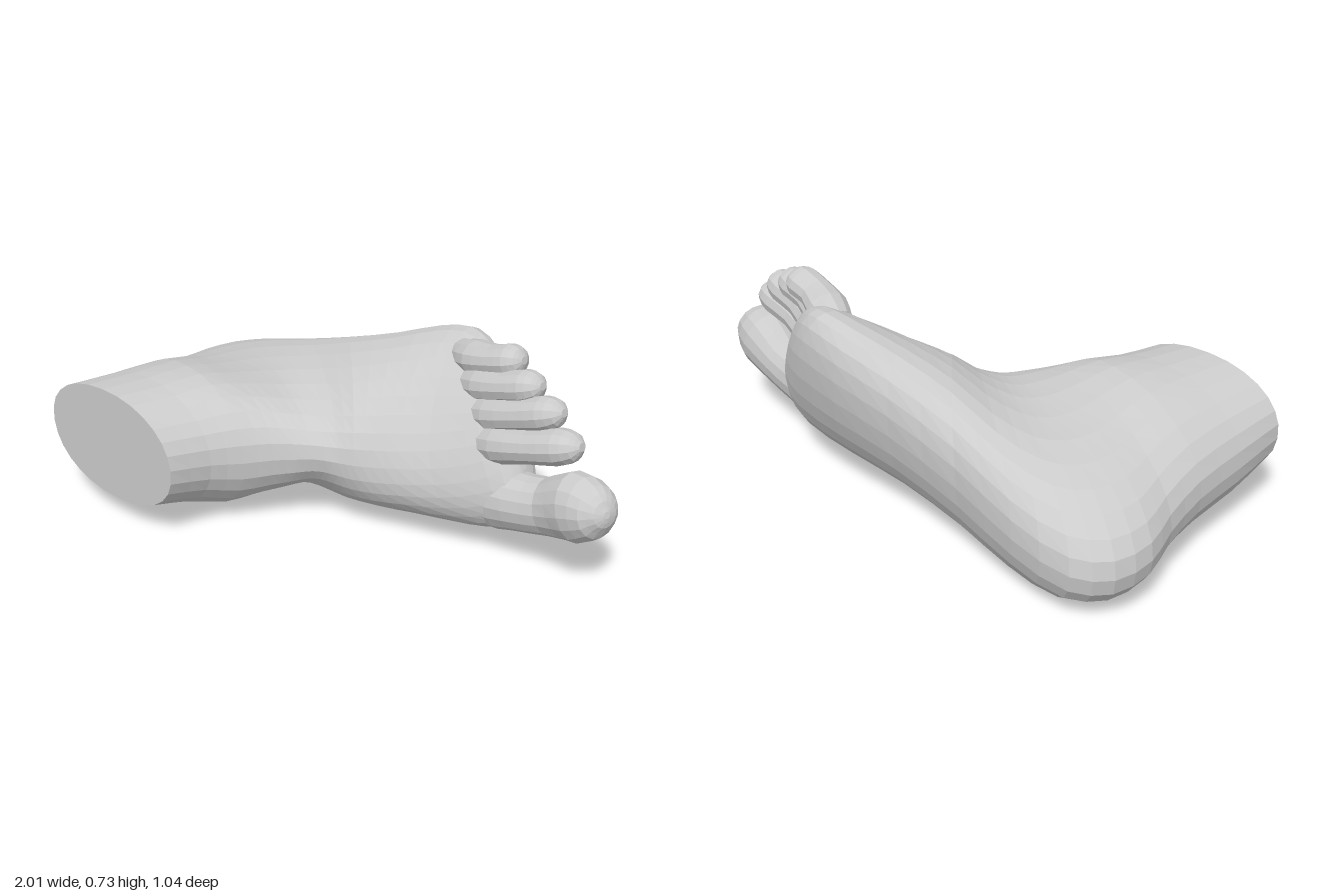
import * as THREE from 'three';

const material = new THREE.MeshStandardMaterial({ color: 0xcccccc, flatShading: true });
const vec = (x, y, z) => new THREE.Vector3(x, y, z);
const SIDES = 28;

// Signed power: below 1 makes an ellipse fuller at its corners
const full = (v, e) => Math.sign(v) * Math.abs(v) ** e;

// Skin a list of rings and close both ends with a fan
function loft(name, rings) {
  const n = rings[0].length;
  const positions = [];
  const index = [];
  for (const ring of rings) for (const p of ring) positions.push(p.x, p.y, p.z);
  for (let i = 0; i < rings.length - 1; i++) {
    for (let j = 0; j < n; j++) {
      const a = i * n + j, b = i * n + (j + 1) % n;
      index.push(a, a + n, b, b, a + n, b + n);
    }
  }
  [0, rings.length - 1].forEach((i, end) => {
    const centre = vec(0, 0, 0);
    rings[i].forEach(p => centre.addScaledVector(p, 1 / n));
    const c = positions.length / 3;
    positions.push(centre.x, centre.y, centre.z);
    for (let j = 0; j < n; j++) {
      const a = i * n + j, b = i * n + (j + 1) % n;
      index.push(c, end ? b : a, end ? a : b);
    }
  });
  const geometry = new THREE.BufferGeometry();
  geometry.setAttribute('position', new THREE.Float32BufferAttribute(positions, 3));
  geometry.setIndex(index);
  geometry.computeVertexNormals();
  const mesh = new THREE.Mesh(geometry, material);
  mesh.name = name;
  return mesh;
}

// Sections that fan round the ankle from the shin cut to the ball.
// instep x, z | heel or sole x, z | instep y, sole y | half width | skew x, z | taper
const SECTIONS = [
  [-0.29, 0.52, -0.93, 0.52, 0.31, 0.30, 0.208, -0.02, 0, 0],
  [-0.25, 0.37, -0.93, 0.32, 0.29, 0.27, 0.232, 0, 0, 0],
  [-0.19, 0.27, -0.935, 0.10, 0.28, 0.25, 0.25, 0, 0, 0.06],
  [-0.125, 0.19, -0.96, -0.08, 0.285, 0.22, 0.235, 0, 0, 0.06],
  [-0.065, 0.14, -1.00, -0.22, 0.29, 0.20, 0.227, 0, 0, 0],
  [-0.015, 0.105, -0.98, -0.37, 0.295, 0.19, 0.222, 0, 0, -0.08],
  [0.02, 0.085, -0.88, -0.465, 0.295, 0.20, 0.224, 0, 0, -0.1],
  [0.06, 0.06, -0.66, -0.485, 0.29, 0.24, 0.238, 0, -0.01, -0.1],
  [0.11, 0.04, -0.40, -0.465, 0.29, 0.30, 0.26, 0, -0.02, -0.12],
  [0.17, 0.005, -0.10, -0.475, 0.29, 0.37, 0.275, -0.02, -0.04, -0.16],
  [0.25, -0.03, 0.14, -0.505, 0.30, 0.42, 0.285, -0.06, -0.055, -0.22],
  [0.36, -0.08, 0.35, -0.49, 0.32, 0.44, 0.285, -0.12, -0.065, -0.26],
  [0.48, -0.13, 0.47, -0.435, 0.36, 0.43, 0.26, -0.13, -0.065, -0.22],
  [0.56, -0.18, 0.54, -0.38, 0.40, 0.43, 0.20, -0.12, -0.05, -0.1],
  [0.58, -0.25, 0.57, -0.32, 0.42, 0.43, 0.08, -0.05, -0.03, 0],
];

function buildFoot() {
  const columns = [];
  for (let j = 0; j < SIDES; j++) {
    const t = (j / SIDES) * Math.PI * 2;
    const c = full(Math.cos(t), 0.93), s = full(Math.sin(t), 0.93);
    columns.push(new THREE.CatmullRomCurve3(
      SECTIONS.map(([ax, az, bx, bz, ay, by, half, vx, vz, taper]) => {
        const w = s * (1 + taper * c);
        return vec(
          (ax + bx) / 2 + c * (ax - bx) / 2 + w * vx,
          (ay + by) / 2 + c * (ay - by) / 2 + w * half,
          (az + bz) / 2 + c * (az - bz) / 2 + w * vz);
      })));
  }
  const steps = (SECTIONS.length - 1) * 2;
  const rings = [];
  for (let i = 0; i <= steps; i++) rings.push(columns.map(curve => curve.getPoint(i / steps)));
  return loft('ankleHeelAndSole', rings);
}

// Toe: elliptical rings along a path; each point is x, y, z, half width, half depth
function buildToe(name, points, sides) {
  const path = new THREE.CatmullRomCurve3(points.map(p => vec(p[0], p[1], p[2])));
  const size = new THREE.CatmullRomCurve3(points.map(p => vec(p[3], p[4], 0)));
  const steps = (points.length - 1) * 2;
  const rings = [];
  for (let i = 0; i <= steps; i++) {
    const u = i / steps;
    const centre = path.getPoint(u), r = size.getPoint(u), along = path.getTangent(u);
    const across = vec(0, 0, 1).cross(along).normalize();
    const up = along.clone().cross(across);
    const ring = [];
    for (let j = 0; j < sides; j++) {
      const t = (j / sides) * Math.PI * 2;
      ring.push(centre.clone()
        .addScaledVector(up, Math.cos(t) * r.y)
        .addScaledVector(across, Math.sin(t) * r.x));
    }
    rings.push(ring);
  }
  return loft(name, rings);
}

// Small toe: broad root sunk in the foot, raised knuckle, rounded pad that curls down
function smallToe(name, base, tip, r) {
  const at = (k, lift, w, d) => [
    base[0] + (tip[0] - base[0]) * k,
    base[1] + (tip[1] - base[1]) * k,
    base[2] + (tip[2] - base[2]) * k + lift, r * w, r * d];
  return buildToe(name, [
    at(0, -0.02, 1.1, 1.1), at(0.3, 0, 1.2, 1.4), at(0.58, 0.01, 1.02, 1.2),
    at(0.82, 0, 1.08, 1.22), at(0.95, -0.005, 0.78, 0.9), at(1, -0.008, 0.25, 0.35),
  ], 12);
}

export function createModel() {
  const foot = new THREE.Group();
  foot.name = 'foot';
  foot.add(buildFoot());

  // Big toe
  foot.add(buildToe('bigToe', [
    [0.36, 0.25, -0.24, 0.09, 0.09],
    [0.50, 0.222, -0.235, 0.12, 0.105],
    [0.62, 0.235, -0.23, 0.105, 0.10],
    [0.75, 0.26, -0.23, 0.10, 0.09],
    [0.87, 0.31, -0.215, 0.122, 0.105],
    [0.955, 0.332, -0.195, 0.09, 0.085],
    [0.99, 0.34, -0.183, 0.045, 0.045],
    [1.0, 0.343, -0.18, 0.012, 0.012],
  ], 16));

  // Four smaller toes
  foot.add(
    smallToe('secondToe', [0.42, 0.39, -0.23], [0.865, 0.525, -0.21], 0.058),
    smallToe('middleToe', [0.37, 0.47, -0.27], [0.77, 0.605, -0.24], 0.055),
    smallToe('fourthToe', [0.31, 0.55, -0.31], [0.66, 0.655, -0.27], 0.053),
    smallToe('littleToe', [0.26, 0.62, -0.355], [0.55, 0.70, -0.315], 0.053),
  );
  return foot;
}
